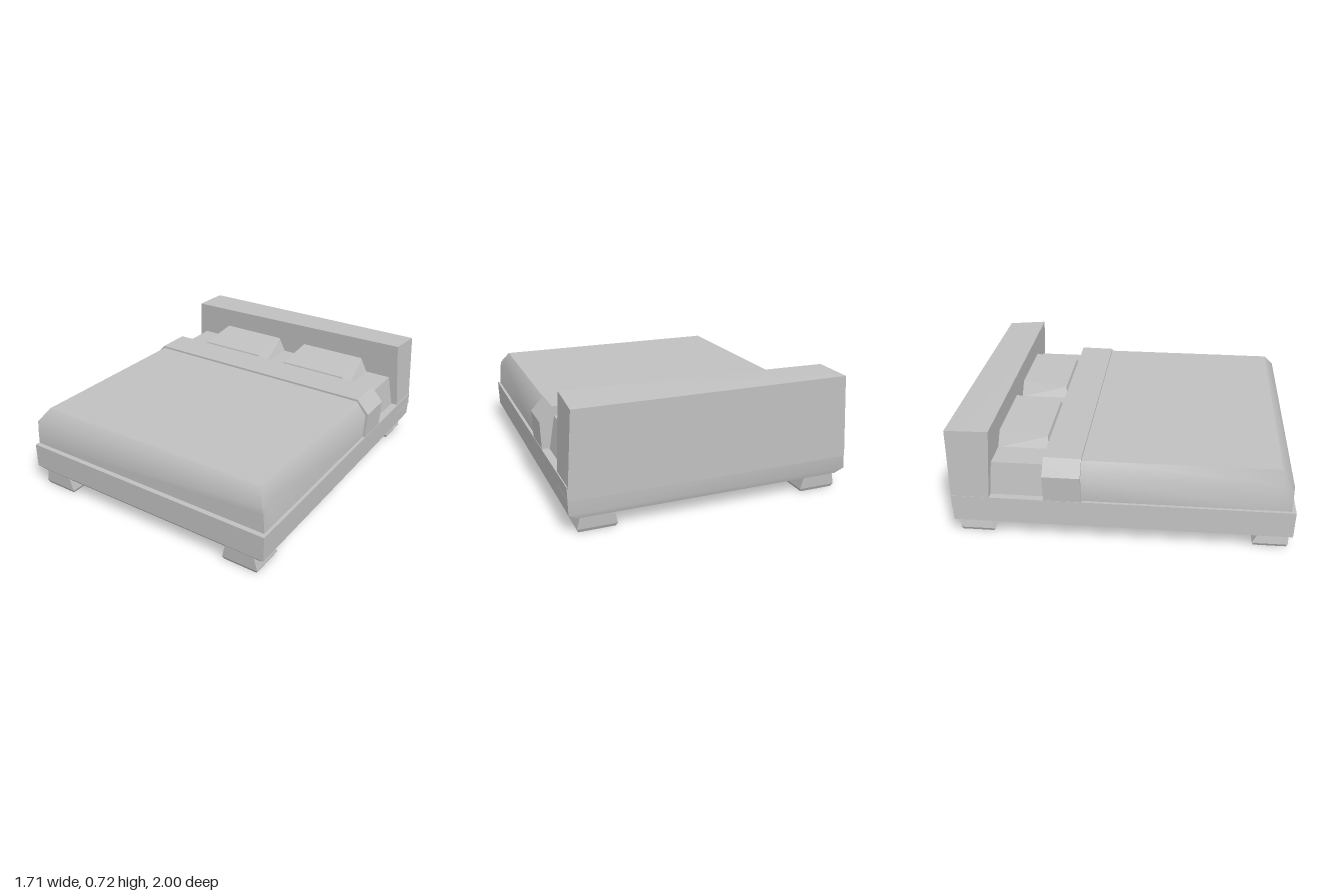
import * as THREE from 'three';
import { toCreasedNormals } from 'three/addons/utils/BufferGeometryUtils.js';

// Closed solid through matching rings, each counterclockwise seen from the last ring's end.
function loft(rings, crease) {
  const pos = [];
  const n = rings[0].length;
  const tri = (a, b, c) => pos.push(...a, ...b, ...c);
  for (let i = 0; i < rings.length - 1; i++) {
    for (let j = 0; j < n; j++) {
      const k = (j + 1) % n;
      const a = rings[i][j], b = rings[i][k], c = rings[i + 1][k], d = rings[i + 1][j];
      tri(a, b, c);
      tri(a, c, d);
    }
  }
  const first = rings[0], last = rings[rings.length - 1];
  for (let j = 1; j < n - 1; j++) {
    tri(first[0], first[j + 1], first[j]);
    tri(last[0], last[j], last[j + 1]);
  }
  const g = new THREE.BufferGeometry();
  g.setAttribute('position', new THREE.Float32BufferAttribute(pos, 3));
  g.computeVertexNormals();
  return toCreasedNormals(g, crease);
}

// Horizontal rectangle at height y.
const level = (y, x0, x1, z0, z1) => [[x0, y, z0], [x0, y, z1], [x1, y, z1], [x1, y, z0]];

// Cross-section at depth z: upright sides, then chamfered shoulders.
const arch = (z, bottom, halfBottom, mid, halfMid, top, halfTop) => [
  [-halfBottom, bottom, z], [halfBottom, bottom, z], [halfMid, mid, z],
  [halfTop, top, z], [-halfTop, top, z], [-halfMid, mid, z],
];

export function createModel() {
  const group = new THREE.Group();
  const grey = new THREE.MeshStandardMaterial({ color: 0xc0c0c0 });
  grey.name = 'plain grey';

  const add = (name, rings, crease = 0.1) => {
    const mesh = new THREE.Mesh(loft(rings, crease), grey);
    mesh.name = name;
    group.add(mesh);
  };

  // Base frame with an undercut lower edge
  add('bedFrame', [
    level(0.09, -0.8, 0.8, -0.985, 0.97),
    level(0.12, -0.855, 0.845, -0.995, 0.995),
    level(0.28, -0.845, 0.85, -0.995, 1.0),
  ], 0.4);

  // Headboard, narrowing upward and leaning forward, with a slightly tilted top
  add('headboard', [
    level(0.2, -0.849, 0.849, -1.0, -0.78),
    [[-0.812, 0.7, -1.0], [-0.812, 0.705, -0.745], [0.815, 0.722, -0.745], [0.818, 0.7, -1.0]],
  ], 0.3);

  // Mattress showing between blanket and headboard
  add('mattress', [
    level(0.27, -0.805, 0.805, -0.79, 0.9),
    level(0.48, -0.77, 0.77, -0.79, 0.85),
  ]);

  // Two pillows, higher toward the headboard
  for (const side of [-1, 1]) {
    const c = side * 0.33;
    const top = level(0.54, c - 0.225, c + 0.225, -0.79, -0.465);
    top[0][1] = top[3][1] = 0.578;
    add(side > 0 ? 'leftPillow' : 'rightPillow', [
      level(0.47, c - 0.275, c + 0.275, -0.79, -0.45), top,
    ]);
  }

  // Blanket, tapering and rolling over at the foot
  add('blanket', [
    arch(-0.43, 0.285, 0.835, 0.44, 0.84, 0.522, 0.775),
    arch(-0.2, 0.285, 0.835, 0.44, 0.84, 0.522, 0.775),
    arch(0.91, 0.285, 0.835, 0.44, 0.81, 0.522, 0.77),
    arch(0.975, 0.285, 0.835, 0.4, 0.828, 0.445, 0.82),
  ], 0.75);

  // Folded-back band of the blanket
  add('blanketFold', [
    arch(-0.45, 0.285, 0.85, 0.45, 0.857, 0.538, 0.78),
    arch(-0.23, 0.285, 0.85, 0.45, 0.857, 0.535, 0.78),
  ]);

  // Four flared feet
  for (const sx of [-1, 1]) {
    for (const sz of [-1, 1]) {
      const foot = (y, xi, xo, zi, zo) => level(y,
        Math.min(sx * xi, sx * xo), Math.max(sx * xi, sx * xo),
        Math.min(sz * zi, sz * zo), Math.max(sz * zi, sz * zo));
      add((sz > 0 ? 'front' : 'back') + (sx > 0 ? 'Left' : 'Right') + 'Foot', [
        foot(0, 0.58, 0.79, 0.78, 0.97),
        foot(0.02, 0.57, 0.8, 0.77, 0.98),
        foot(0.12, 0.595, 0.775, 0.83, 0.985),
      ]);
    }
  }
  return group;
}
